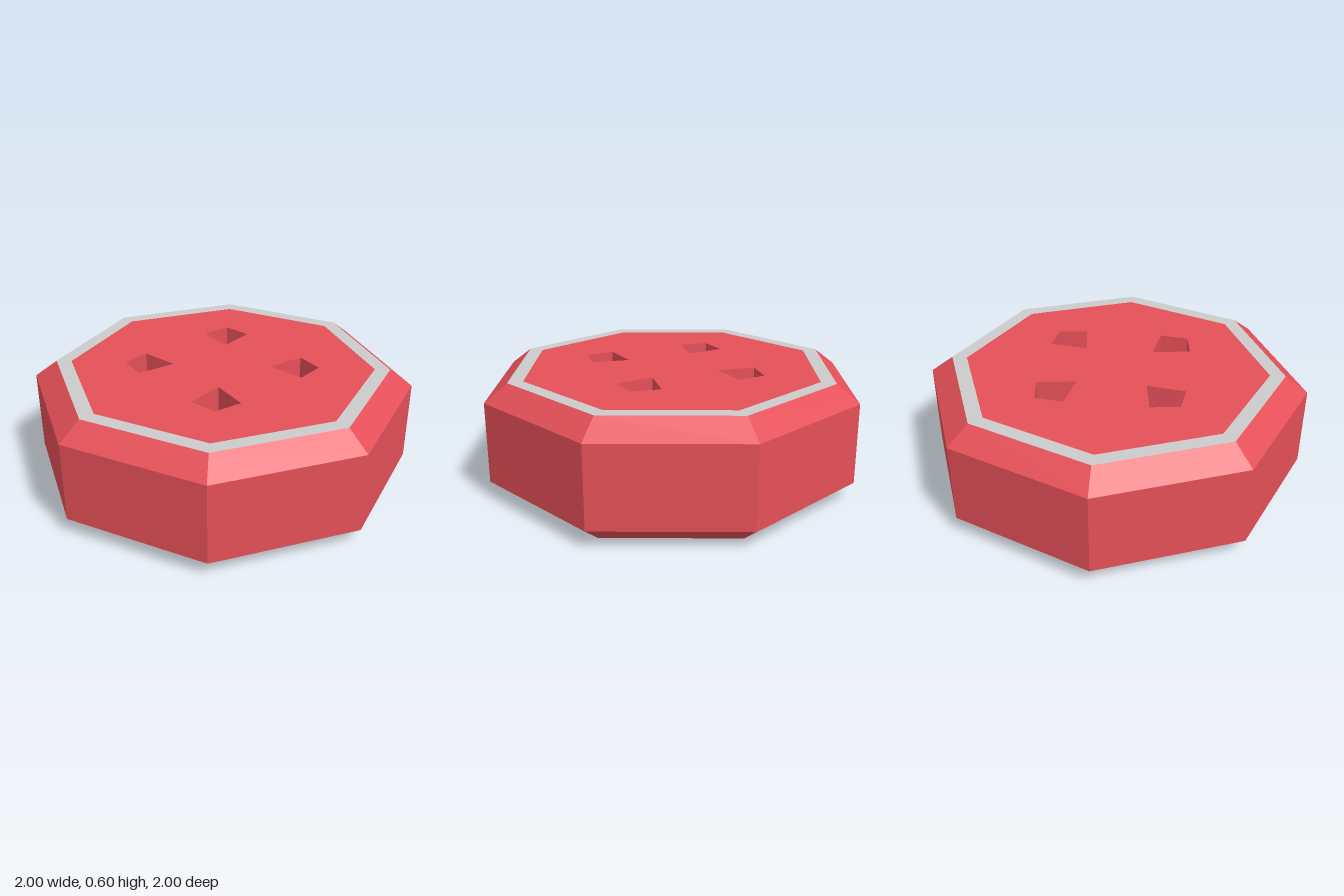
import * as THREE from 'three';

const HEIGHT = 0.6;
const FLOOR = 0.25;
const HOLE = [[0.18, 0.18], [0.38, 0.21], [0.36, 0.36], [0.21, 0.38]];

const material = (color) => new THREE.MeshStandardMaterial({ color, flatShading: true });

const octagon = (r) => Array.from({ length: 8 }, (_, i) =>
  new THREE.Vector2(r * Math.cos(i * Math.PI / 4), r * Math.sin(i * Math.PI / 4)));

// Inward-facing walls of a pocket, corners running counter-clockwise
function pocketWalls(corners) {
  const pos = [];
  corners.forEach((a, i) => {
    const b = corners[(i + 1) % corners.length];
    const [aT, bT] = [[a.x, a.y, HEIGHT], [b.x, b.y, HEIGHT]];
    const [aB, bB] = [[a.x, a.y, FLOOR], [b.x, b.y, FLOOR]];
    pos.push(...aT, ...bT, ...bB, ...aT, ...bB, ...aB);
  });
  const geo = new THREE.BufferGeometry();
  geo.setAttribute('position', new THREE.Float32BufferAttribute(pos, 3));
  geo.computeVertexNormals();
  return geo;
}

export function createModel() {
  const group = new THREE.Group();
  const red = material(0xe55058);
  const grey = material(0xcccccc);
  const dark = material(0x373b44);

  // Outlines are drawn flat, then laid down so local z becomes height
  const add = (name, geo, mat) => {
    const mesh = new THREE.Mesh(geo, mat);
    mesh.name = name;
    group.add(mesh);
    return mesh;
  };
  const addFlat = (name, geo, mat) => add(name, geo.rotateX(-Math.PI / 2), mat);

  // Bevelled eight-sided body with a closed underside
  const profile = [[0, 0], [0.88, 0], [1, 0.09], [1, 0.51], [0.88, HEIGHT]]
    .map(([x, y]) => new THREE.Vector2(x, y));
  add('body', new THREE.LatheGeometry(profile, 8), red);

  // Grey rim band, flush with the top
  const rim = new THREE.Shape(octagon(0.88));
  rim.holes.push(new THREE.Path(octagon(0.8)));
  addFlat('rim', new THREE.ShapeGeometry(rim).translate(0, 0, HEIGHT), grey);

  // Top face with four mirrored thread holes
  const face = new THREE.Shape(octagon(0.8));
  for (const sx of [1, -1]) {
    for (const sy of [1, -1]) {
      const corners = HOLE.map(([x, y]) => new THREE.Vector2(sx * x, sy * y));
      if (sx * sy < 0) corners.reverse();
      face.holes.push(new THREE.Path(corners));
      addFlat('holeWalls', pocketWalls(corners), red);
      const floor = new THREE.ShapeGeometry(new THREE.Shape(corners));
      addFlat('holeFloor', floor.translate(0, 0, FLOOR), dark);
    }
  }
  addFlat('topFace', new THREE.ShapeGeometry(face).translate(0, 0, HEIGHT), red);

  return group;
}
